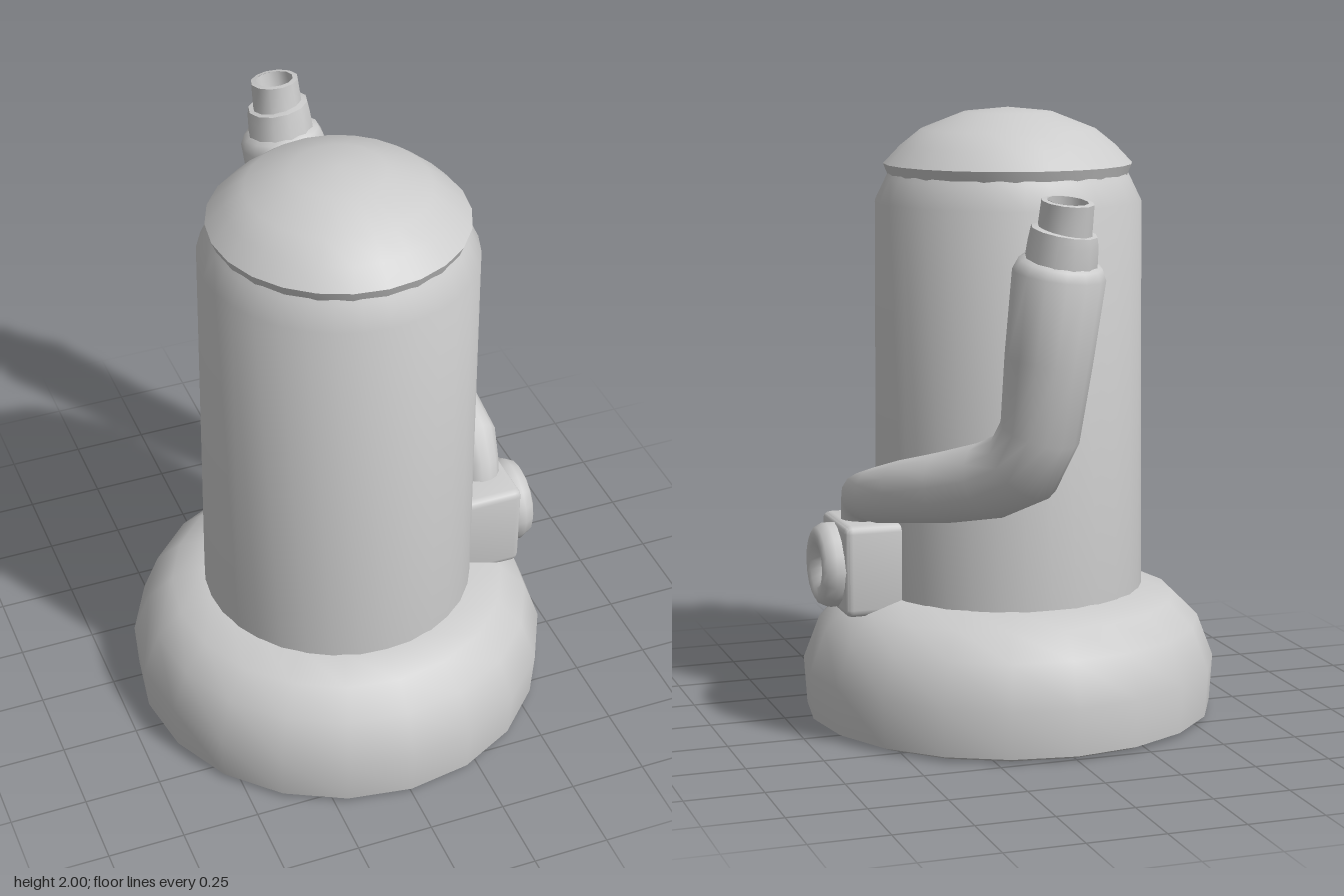
import * as THREE from 'three';
import { toCreasedNormals } from 'three/addons/utils/BufferGeometryUtils.js';
import { RoundedBoxGeometry } from 'three/addons/geometries/RoundedBoxGeometry.js';

const AXIS_Z = 0.16; // the tank stands forward of the origin
const grey = new THREE.MeshStandardMaterial({ color: 0xcccccc });
const greyDouble = new THREE.MeshStandardMaterial({ color: 0xcccccc, side: THREE.DoubleSide });

function part(name, geometry, crease = 0.7, material = grey) {
  const mesh = new THREE.Mesh(toCreasedNormals(geometry, crease), material);
  mesh.name = name;
  return mesh;
}

function lathe(profile, sides) {
  return new THREE.LatheGeometry(profile.map(([r, y]) => new THREE.Vector2(r, y)), sides);
}

// Round tube through rows of [x, y, z, radius], each ring square to the path
function loft(rows, sides) {
  const centres = rows.map(([x, y, z]) => new THREE.Vector3(x, y, z));
  const positions = [], index = [];
  const u = new THREE.Vector3(1, 0, 0), v = new THREE.Vector3();
  rows.forEach((row, i) => {
    const back = centres[i].clone().sub(centres[Math.max(i - 1, 0)]).normalize();
    const ahead = centres[Math.min(i + 1, rows.length - 1)].clone().sub(centres[i]).normalize();
    const t = back.add(ahead).normalize();
    u.addScaledVector(t, -u.dot(t)).normalize();
    v.crossVectors(t, u);
    for (let j = 0; j < sides; j++) {
      const a = (j / sides) * Math.PI * 2;
      const p = centres[i].clone()
        .addScaledVector(u, Math.cos(a) * row[3])
        .addScaledVector(v, Math.sin(a) * row[3]);
      positions.push(p.x, p.y, p.z);
      if (i === 0) continue;
      const k = (j + 1) % sides, lo = (i - 1) * sides, hi = i * sides;
      index.push(lo + j, lo + k, hi + k, lo + j, hi + k, hi + j);
    }
  });
  const geometry = new THREE.BufferGeometry();
  geometry.setAttribute('position', new THREE.Float32BufferAttribute(positions, 3));
  geometry.setIndex(index);
  return geometry;
}

export function createModel() {
  const model = new THREE.Group();
  model.name = 'tankWithHose';

  // Flared base, hollow underneath
  const base = part('base', lathe([
    [0.375, 0.36], [0.395, 0.36], [0.395, 0.18], [0.52, 0.135], [0.59, 0.08], [0.62, 0.01],
    [0.64, 0], [0.675, 0.015], [0.685, 0.17], [0.632, 0.31], [0.55, 0.39], [0.44, 0.43], [0.40, 0.43],
  ], 20), 0.85);
  base.position.z = AXIS_Z;
  model.add(base);

  // Tall tank with chamfered shoulder
  const tank = part('tank', lathe([
    [0.375, 0.36], [0.442, 0.36], [0.442, 0.43], [0.434, 1.70], [0.398, 1.775], [0.385, 1.80],
  ], 32), 0.6, greyDouble);
  tank.position.z = AXIS_Z;
  model.add(tank);

  // Domed cap
  const dome = part('dome', lathe([
    [0.385, 1.77], [0.405, 1.82], [0.35, 1.878], [0.285, 1.93], [0.145, 1.985], [0, 2],
  ], 24), 0.6, greyDouble);
  dome.position.z = AXIS_Z;
  model.add(dome);

  // Valve block on the left side
  const block = part('valveBlock', new RoundedBoxGeometry(0.27, 0.3, 0.3, 2, 0.025), 0.6);
  block.position.set(0.465, 0.53, AXIS_Z);
  model.add(block);

  // Round knob with a dimple, facing outward
  const knob = part('valveKnob', lathe([
    [0.12, -0.02], [0.138, 0.005], [0.14, 0.04], [0.125, 0.07], [0.105, 0.08],
    [0.075, 0.075], [0.05, 0.045], [0.03, 0.022], [0, 0.015],
  ], 16), 1.0);
  knob.rotation.z = -Math.PI / 2;
  knob.position.set(0.585, 0.53, AXIS_Z);
  model.add(knob);

  // Hose sweeping back from the valve, widening into an upright grip
  model.add(part('hose', loft([
    [0.51, 0.64, 0.16, 0.065], [0.51, 0.71, 0.145, 0.067], [0.515, 0.765, 0.08, 0.08],
    [0.505, 0.795, -0.06, 0.09], [0.465, 0.835, -0.22, 0.1], [0.38, 0.87, -0.37, 0.112],
    [0.285, 0.91, -0.5, 0.12], [0.215, 0.97, -0.61, 0.125], [0.18, 1.08, -0.66, 0.122],
    [0.16, 1.3, -0.68, 0.132], [0.135, 1.555, -0.7, 0.14], [0.132, 1.59, -0.705, 0.125],
    [0.131, 1.6, -0.707, 0.1],
  ], 14), 1.0));

  // Stepped nozzle with an open bore
  model.add(part('nozzleCollar', loft([
    [0.132, 1.585, -0.705, 0.11], [0.128, 1.65, -0.715, 0.106],
    [0.126, 1.685, -0.719, 0.1], [0.125, 1.69, -0.72, 0.07],
  ], 12), 0.6));
  const tip = loft([
    [0.126, 1.67, -0.718, 0.083], [0.12, 1.772, -0.733, 0.079], [0.1199, 1.774, -0.7333, 0.062],
  ], 12);
  model.add(part('nozzleTip', tip, 0.6));
  model.add(part('nozzleBore', loft([
    [0.125, 1.695, -0.721, 0.001], [0.1249, 1.697, -0.7213, 0.058], [0.1199, 1.774, -0.7333, 0.062],
  ], 12), 0.6, greyDouble));

  return model;
}
